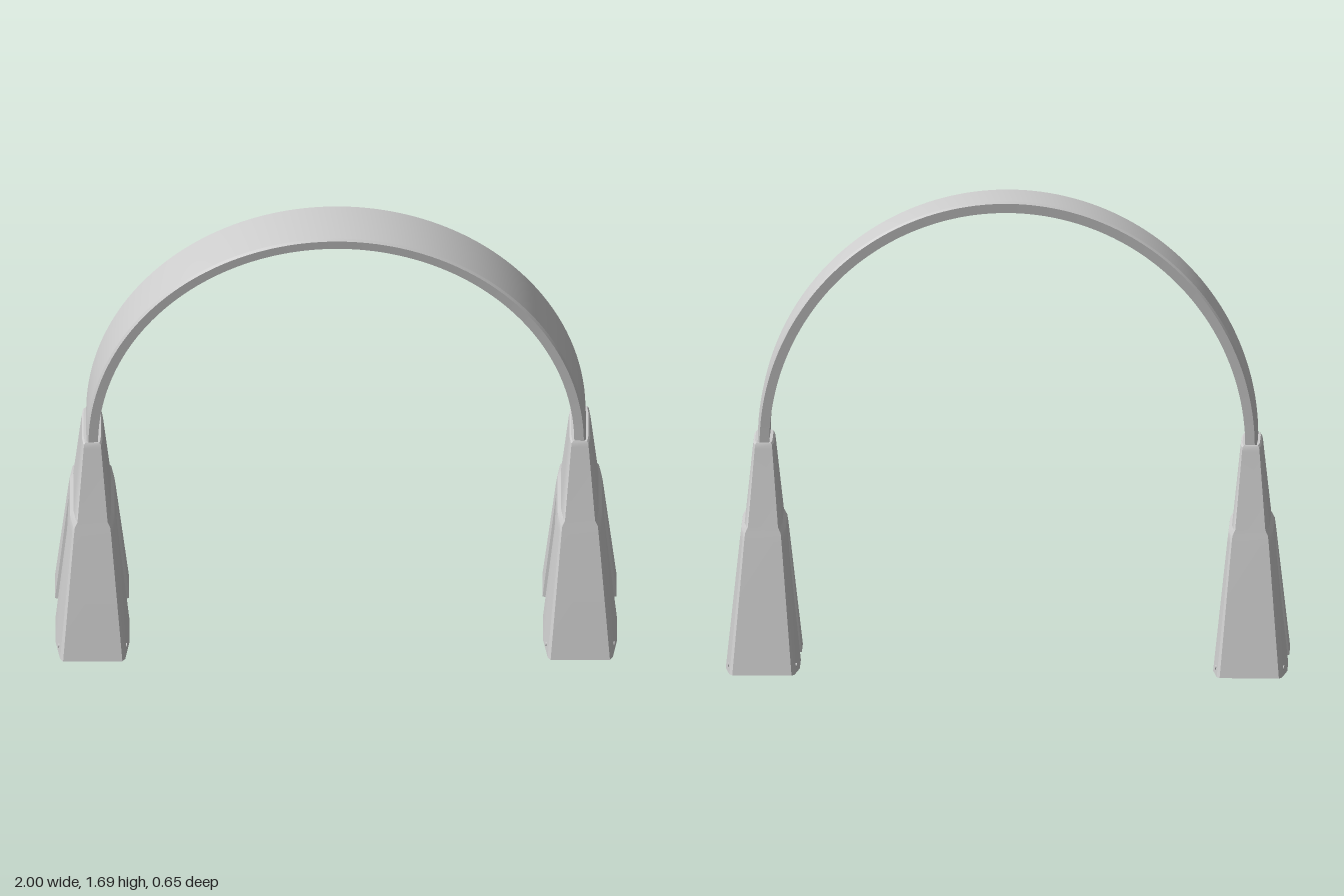
import * as THREE from 'three';
import { toCreasedNormals } from 'three/addons/utils/BufferGeometryUtils.js';

// Closed cross-section of a leg: bowed long sides, bevelled corners, central groove of depth d
function section(hx, hz, d) {
  const half = [
    [0.8 * hx, -hz], [0.88 * hx, -0.95 * hz], [hx, -0.62 * hz], [hx, -0.065],
    [hx - d, -0.053], [hx - d, 0.053],
    [hx, 0.065], [hx, 0.62 * hz], [0.88 * hx, 0.95 * hz], [0.8 * hx, hz],
  ];
  return [...half, ...half.map(([x, z]) => [-x, -z])];
}

// Skin a stack of rings [y, hx, hz, d]; the last ring is closed with a cap
function loft(rings) {
  const pos = [], idx = [];
  for (const [y, hx, hz, d] of rings)
    for (const [x, z] of section(hx, hz, d)) pos.push(x, y, z);
  const n = 20;
  for (let r = 0; r < rings.length - 1; r++) {
    for (let i = 0; i < n; i++) {
      const a = r * n + i, b = r * n + (i + 1) % n;
      idx.push(a, a + n, b, b, a + n, b + n);
    }
  }
  const last = (rings.length - 1) * n;
  pos.push(0, rings[rings.length - 1][0], 0);
  for (let i = 0; i < n; i++) idx.push(last + i, rings.length * n, last + (i + 1) % n);
  const g = new THREE.BufferGeometry();
  g.setAttribute('position', new THREE.Float32BufferAttribute(pos, 3));
  g.setIndex(idx);
  return toCreasedNormals(g, 0.4);
}

export function createModel() {
  const grey = new THREE.MeshStandardMaterial({ color: 0xcccccc, side: THREE.DoubleSide });
  grey.name = 'light grey';
  const group = new THREE.Group();
  group.name = 'archway';
  const add = (parent, name, geometry) => {
    const m = new THREE.Mesh(geometry, grey);
    m.name = name;
    parent.add(m);
    return m;
  };

  // Flat half-ring band with softened edges
  const profile = [
    [0.848, -0.104], [0.882, -0.107], [0.889, -0.099], [0.891, 0],
    [0.889, 0.099], [0.882, 0.107], [0.848, 0.104], [0.848, -0.104],
  ].map(([r, z]) => new THREE.Vector2(r, z));
  const band = new THREE.LatheGeometry(profile, 96, Math.PI / 2, Math.PI);
  band.rotateX(Math.PI / 2);
  add(group, 'archBand', toCreasedNormals(band, 0.4)).position.y = 0.795;

  // Tapered hollow legs with a stepped shoulder and a collar
  const shell = loft([
    [0, 0.132, 0.325, 0.03], [0.46, 0.083, 0.202, 0], [0.49, 0.079, 0.193, 0],
    [0.51, 0.067, 0.187, 0], [0.78, 0.039, 0.116, 0], [0.795, 0.037, 0.112, 0],
    [0.802, 0.031, 0.108, 0],
  ]);
  const lining = loft([
    [0, 0.122, 0.315, 0.03], [0.46, 0.073, 0.192, 0], [0.78, 0.03, 0.106, 0],
  ]);

  // Thin rim joining shell and lining along the bottom
  const toShape = (pts, C) => new C(pts.map(([x, z]) => new THREE.Vector2(x, z)));
  const rimShape = toShape(section(0.132, 0.325, 0.03), THREE.Shape);
  rimShape.holes.push(toShape(section(0.122, 0.315, 0.03), THREE.Path));
  const rim = new THREE.ShapeGeometry(rimShape).rotateX(Math.PI / 2);

  const stud = new THREE.CylinderGeometry(0.008, 0.008, 0.008, 12).rotateZ(Math.PI / 2);
  for (const side of [-1, 1]) {
    const leg = new THREE.Group();
    leg.name = side > 0 ? 'leftLeg' : 'rightLeg';
    leg.position.x = side * 0.868;
    add(leg, 'legShell', shell);
    add(leg, 'legLining', lining);
    add(leg, 'legRim', rim);
    // Small fixings near the foot
    for (const face of [-1, 1])
      for (const [x, z] of [[0.119, -0.26], [0.099, 0], [0.119, 0.26]])
        add(leg, 'fixing', stud).position.set(face * x, 0.025, z);
    group.add(leg);
  }
  return group;
}
